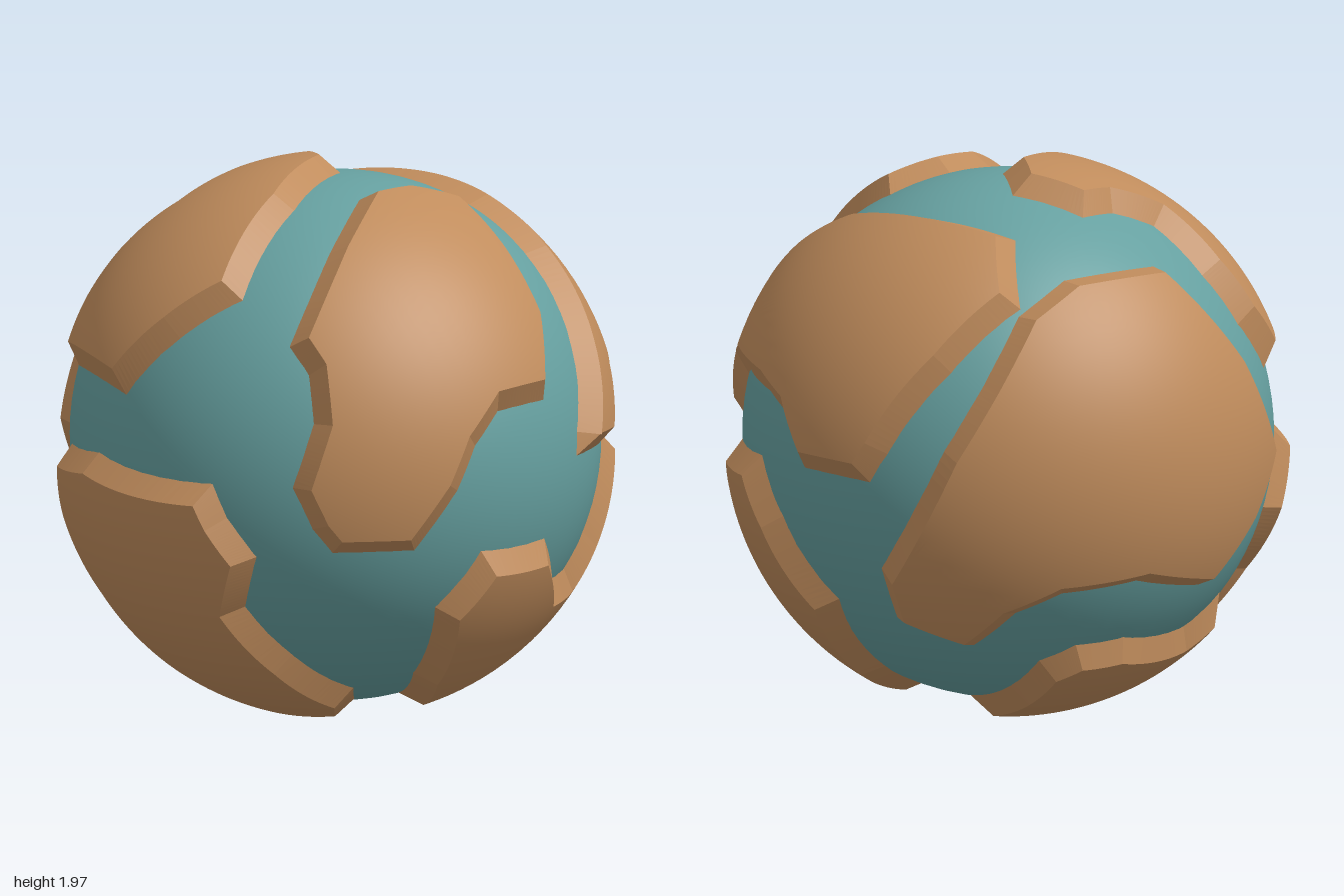
import * as THREE from 'three';
import { mergeVertices } from 'three/addons/utils/BufferGeometryUtils.js';

const SEA = 0.93, LAND = 0.995, INSET = 0.075, LEVELS = 4, STEPS = 2 ** LEVELS;

// Facing directions [azimuth, elevation] in degrees; outlines are drawn as (right, up) pairs seen from them
const FACING = {
  F: [0, 0], R: [90, 0], T: [0, 90],
  P: [36, 25], Q: [216, 25], S: [142, -25],
};

// Outline of every raised land plate, where it meets the sea
const PLATES = {
  frontLand: [
    ['T', -.26, -.47, -.04, -.26, .13, -.22, .35, -.24, .43, -.48],
    ['F', .48, .475, .42, .23, .2, .225, .095, .12, .02, -.03, -.13, -.24, -.41, -.24, -.48, -.15,
      -.545, 0, -.47, .225, -.46, .385, -.495, .475],
  ],
  upperRightLand: [
    ['T', .08, .23, .03, .01, -.265, -.22, -.566, -.42],
    ['F', -.75, .464],
    ['Q', .8, .05, .41, -.12, .264, .055, .19, .26, .154, .48, .016, .57, -.13, .59],
  ],
  upperLeftLand: [
    ['T', .22, .68, .15, .46, .34, .23, .476, -.085, .58, -.32, .635, -.56],
    ['F', .585, .09, .577, 0],
    ['R', -.53, -.01, -.4, .19, -.29, .23, .02, .22, .155, .175, .29, 0, .56, -.01, .61, .1, .69, .39],
  ],
  lowerRightLand: [
    ['F', -.75, 0, -.71, -.12, -.62, -.26, -.61, -.46, -.42, -.65, -.14, -.81],
    ['S', -.126, -.91, .165, -.88, .51, -.77],
    ['Q', .48, -.72, .42, -.566, .54, -.32, .76, -.2],
  ],
  lowerLeftLand: [
    ['F', .13, -.26, .43, -.26, .545, -.45, .64, -.44],
    ['R', -.46, -.33, -.31, -.01, .01, 0, .13, -.2, .28, -.48],
    ['S', -.33, -.54, -.26, -.77],
    ['F', .1, -.88, .03, -.755, -.015, -.465],
  ],
  backLand: [
    ['T', .24, .69],
    ['Q', -.41, .41, -.05, .35, .137, -.044, .286, -.374, .137, -.59],
    ['S', .77, -.29, .63, -.1, .41, -.055, .25, -.11, .08, -.264, -.19, -.154, -.22, .066, .03, .505],
    ['T', .4, .76],
  ],
  bottomLand: [
    ['S', -.07, -.7, .03, -.8, .36, -.77],
    ['Q', .32, -.857, .25, -.786, .07, -.857],
    ['S', .55, -.36, .41, -.32, .275, -.374],
  ],
};

// Unit direction of the sea point seen at (u, v) from a facing direction
function seen(facing, u, v) {
  const [a, e] = FACING[facing].map(THREE.MathUtils.degToRad);
  const depth = Math.sqrt(Math.max(0, SEA * SEA - u * u - v * v));
  return new THREE.Vector3(u, v, depth).normalize()
    .applyEuler(new THREE.Euler(-e, a, 0, 'YXZ'));
}

function outline(runs) {
  const points = [];
  for (const [facing, ...c] of runs)
    for (let i = 0; i < c.length; i += 2) points.push(seen(facing, c[i], c[i + 1]));
  return points;
}

// Shrinks a counter-clockwise flat outline by an even width on the sphere
function inset(poly) {
  const n = poly.length;
  return poly.map((p, i) => {
    const d0 = p.clone().sub(poly[(i + n - 1) % n]).normalize();
    const d1 = poly[(i + 1) % n].clone().sub(p).normalize();
    const n0 = new THREE.Vector2(-d0.y, d0.x), n1 = new THREE.Vector2(-d1.y, d1.x);
    const m = n0.clone().add(n1).normalize();
    const w = INSET * (1 + p.lengthSq() / 4) / Math.max(0.65, m.dot(n0));
    return p.clone().addScaledVector(m, w);
  });
}

function geometryOf(positions) {
  const g = new THREE.BufferGeometry();
  g.setAttribute('position', new THREE.Float32BufferAttribute(positions, 3));
  return g;
}

// A plate: a smooth spherical top and a sloping rim, worked out on a stereographic map
function makePlate(name, runs, material) {
  const dirs = outline(runs);
  const c = dirs.reduce((s, p) => s.add(p), new THREE.Vector3()).normalize();
  const ex = new THREE.Vector3(0, 1, 0);
  if (Math.abs(c.y) > 0.8) ex.set(1, 0, 0);
  ex.cross(c).normalize();
  const ey = c.clone().cross(ex);

  const base = dirs.map(p => new THREE.Vector2(p.dot(ex), p.dot(ey)).multiplyScalar(2 / (1 + p.dot(c))));
  if (THREE.ShapeUtils.area(base) < 0) base.reverse();
  const top = inset(base);

  const lift = (q, r) => {
    const s = q.lengthSq() / 4;
    return c.clone().multiplyScalar(1 - s).addScaledVector(ex, q.x).addScaledVector(ey, q.y)
      .multiplyScalar(r / (1 + s));
  };

  // Top surface, split finely so that it follows the sphere
  const cap = [];
  const split = (a, b, d, level) => {
    if (level === 0) {
      for (const q of [a, b, d]) cap.push(...lift(q, LAND).toArray());
      return;
    }
    const ab = a.clone().lerp(b, .5), bd = b.clone().lerp(d, .5), da = d.clone().lerp(a, .5);
    split(a, ab, da, level - 1);
    split(ab, b, bd, level - 1);
    split(da, bd, d, level - 1);
    split(ab, bd, da, level - 1);
  };
  for (const f of THREE.ShapeUtils.triangulateShape(top, [])) {
    const t = f.map(i => top[i]);
    if (THREE.ShapeUtils.area(t) < 0) t.reverse();
    split(t[0], t[1], t[2], LEVELS);
  }
  const capGeo = geometryOf(cap);
  const normals = capGeo.attributes.position.clone();
  for (let i = 0; i < normals.count; i++) {
    const v = new THREE.Vector3().fromBufferAttribute(normals, i).normalize();
    normals.setXYZ(i, v.x, v.y, v.z);
  }
  capGeo.setAttribute('normal', normals);

  // Rim from the sea up to the top surface, one facet per outline edge
  const rim = [];
  base.forEach((b0, i) => {
    const j = (i + 1) % base.length;
    for (let k = 0; k < STEPS; k++) {
      const at = (p, q, s, r) => lift(p.clone().lerp(q, s / STEPS), r).toArray();
      const a = at(b0, base[j], k, SEA - .005), b = at(b0, base[j], k + 1, SEA - .005);
      const d = at(top[i], top[j], k + 1, LAND), e = at(top[i], top[j], k, LAND);
      rim.push(...a, ...b, ...d, ...a, ...d, ...e);
    }
  });
  const rimGeo = geometryOf(rim);
  rimGeo.computeVertexNormals();

  const group = new THREE.Group();
  group.name = name;
  const capMesh = new THREE.Mesh(mergeVertices(capGeo), material);
  capMesh.name = name + 'Top';
  const rimMesh = new THREE.Mesh(rimGeo, material);
  rimMesh.name = name + 'Rim';
  group.add(capMesh, rimMesh);
  return group;
}

export function createModel() {
  const seaTeal = new THREE.MeshStandardMaterial({ color: 0x66a0a0 });
  seaTeal.name = 'seaTeal';
  const landBrown = new THREE.MeshStandardMaterial({ color: 0xc08c5c });
  landBrown.name = 'landBrown';

  const planet = new THREE.Group();
  planet.name = 'planet';
  planet.position.y = LAND;
  const sea = new THREE.Mesh(new THREE.SphereGeometry(SEA, 64, 48), seaTeal);
  sea.name = 'sea';
  planet.add(sea);
  for (const [name, runs] of Object.entries(PLATES)) planet.add(makePlate(name, runs, landBrown));

  const model = new THREE.Group();
  model.name = 'model';
  model.add(planet);
  return model;
}
